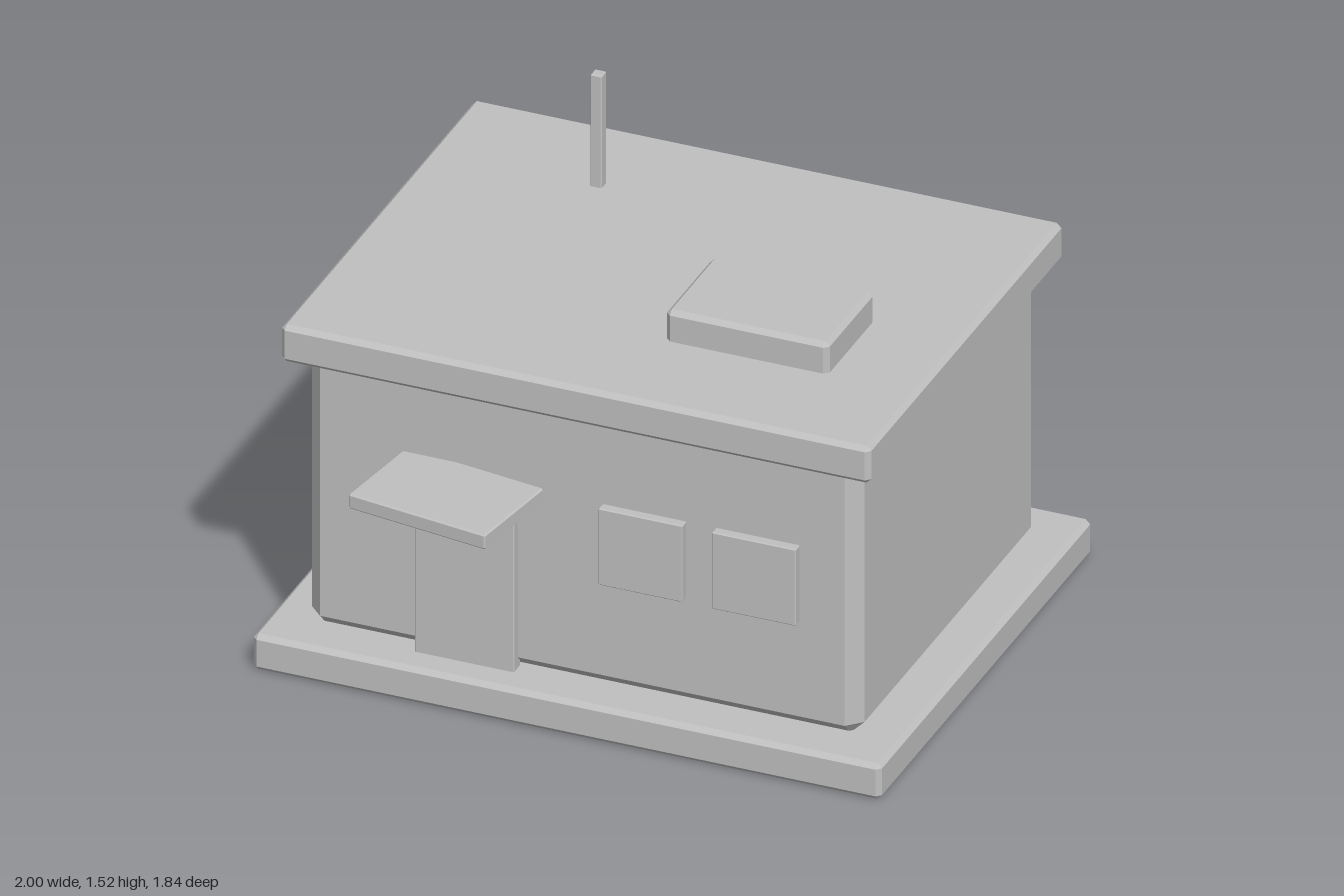
import * as THREE from 'three';
import { ConvexGeometry } from 'three/addons/geometries/ConvexGeometry.js';

// Box with every edge cut by a flat chamfer, centred on its own origin
function chamferedBox(w, h, d, c) {
  const points = [];
  for (const sx of [-1, 1]) for (const sy of [-1, 1]) for (const sz of [-1, 1]) {
    const x = w / 2, y = h / 2, z = d / 2;
    points.push(
      new THREE.Vector3(sx * x, sy * (y - c), sz * (z - c)),
      new THREE.Vector3(sx * (x - c), sy * y, sz * (z - c)),
      new THREE.Vector3(sx * (x - c), sy * (y - c), sz * z)
    );
  }
  return new ConvexGeometry(points);
}

export function createModel() {
  const model = new THREE.Group();
  model.name = 'building';
  const grey = new THREE.MeshStandardMaterial({ color: 0xc0c0c0, flatShading: true });
  grey.name = 'plain grey';

  // Adds a block given its extents along each axis
  function block(name, [x0, x1], [y0, y1], [z0, z1], chamfer) {
    const mesh = new THREE.Mesh(chamferedBox(x1 - x0, y1 - y0, z1 - z0, chamfer), grey);
    mesh.name = name;
    mesh.position.set((x0 + x1) / 2, (y0 + y1) / 2, (z0 + z1) / 2);
    model.add(mesh);
    return mesh;
  }

  // Main masses
  block('baseSlab', [-1, 1], [0, 0.12], [-0.923, 0.673], 0.015);
  block('walls', [-0.88, 0.88], [0.11, 1.07], [-0.79, 0.55], 0.045);
  block('roofSlab', [-0.938, 0.938], [1.018, 1.143], [-0.853, 0.607], 0.015);

  // Rooftop details
  block('roofHatch', [0.137, 0.655], [1.12, 1.245], [-0.1, 0.25], 0.015);
  block('roofMast', [-0.421, -0.385], [1.12, 1.52], [-0.541, -0.505], 0.003);

  // Door and front windows
  block('door', [-0.521, -0.205], [0.115, 0.673], [0.53, 0.58], 0.003);
  for (const x of [0.063, 0.424]) {
    block('window', [x, x + 0.268], [0.475, 0.733], [0.53, 0.58], 0.003);
  }

  // Crooked canopy over the door
  const canopy = block('canopy', [-0.598, -0.128], [0.72, 0.77], [0.5525, 0.8825], 0.005);
  canopy.rotation.y = -0.15;

  return model;
}
